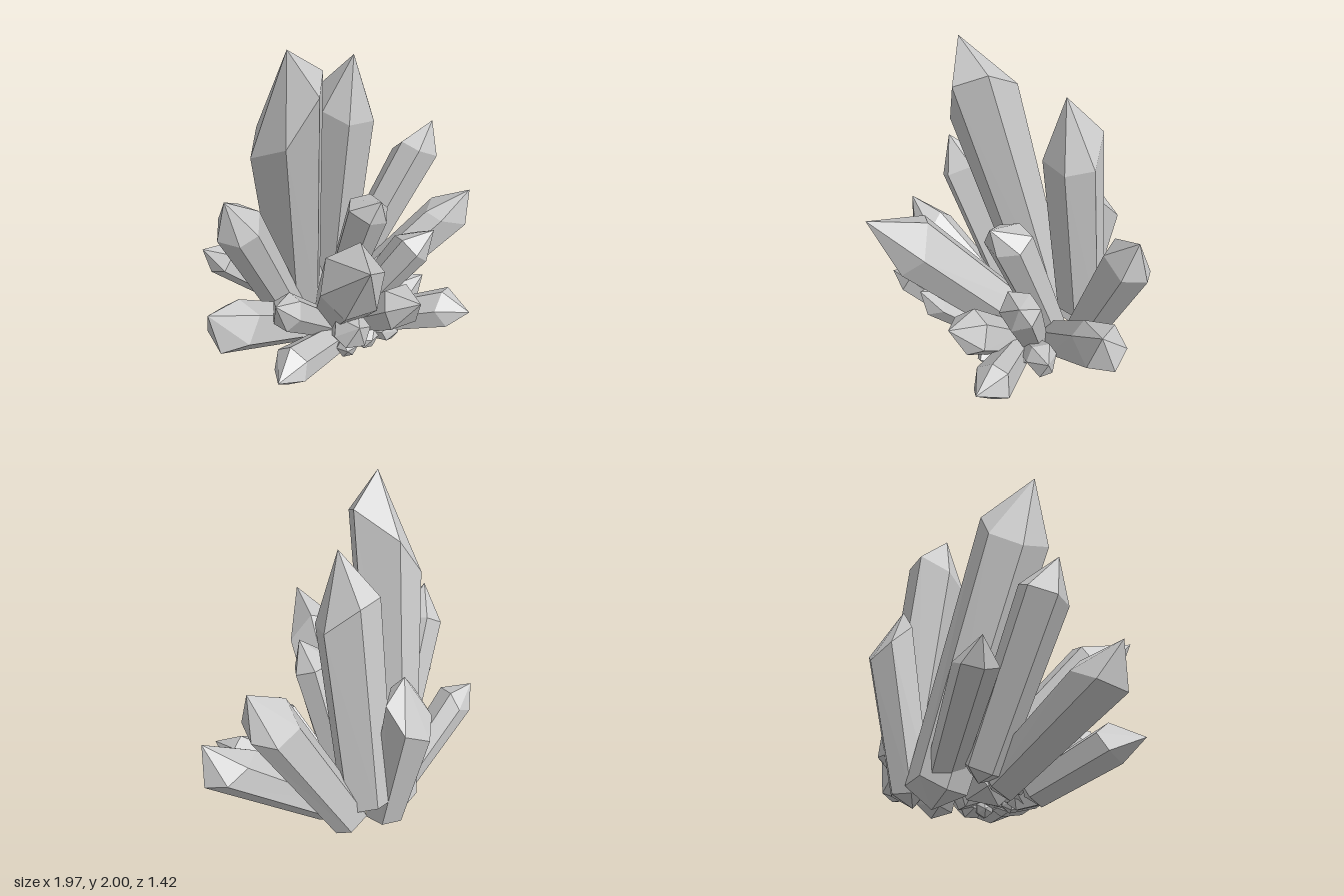
import * as THREE from 'three';

const V = (a) => new THREE.Vector3(...a);

// Small seeded generator for the natural irregularity of the facets
function seeded(seed) {
  let s = seed * 7919 + 17;
  return () => {
    s = (s * 16807) % 2147483647;
    return s / 2147483647 - 0.5;
  };
}

// Six-sided crystal: pointed root, narrow lower ring, wide uneven shoulder ring, off-centre tip
function crystalGeometry({ root, shoulder, tip, r, taper = 0.78, tilt = [0, 0, 0], rough = 0.35, phase = 0.2 }, seed) {
  const rnd = seeded(seed);
  for (let i = 0; i < 5; i++) rnd();
  const a = V(root), b = V(shoulder), top = V(tip), lean = V(tilt);
  const axis = b.clone().sub(a).normalize();
  const u = new THREE.Vector3(1, 0, 0).addScaledVector(axis, -axis.x).normalize();
  const w = new THREE.Vector3().crossVectors(u, axis);
  const n = 6;
  const low = [], high = [];
  for (let i = 0; i < n; i++) {
    const t = phase + (i + rnd() * 0.25) / n * Math.PI * 2;
    const dir = u.clone().multiplyScalar(Math.cos(t)).addScaledVector(w, Math.sin(t));
    const size = r * (1 + rnd() * 0.1);
    low.push(a.clone().addScaledVector(dir, size * taper).addScaledVector(axis, r * (0.5 + rnd() * 0.3)));
    high.push(b.clone().addScaledVector(dir, size)
      .addScaledVector(axis, r * (dir.dot(lean) + rnd() * rough * 2)));
  }
  const pos = [];
  const tri = (...pts) => pts.forEach((p) => pos.push(p.x, p.y, p.z));
  for (let i = 0; i < n; i++) {
    const j = (i + 1) % n;
    tri(a, low[i], low[j]);
    tri(low[i], high[i], high[j]);
    tri(low[i], high[j], low[j]);
    tri(high[i], top, high[j]);
  }
  const g = new THREE.BufferGeometry();
  g.setAttribute('position', new THREE.Float32BufferAttribute(pos, 3));
  g.computeVertexNormals();
  return g;
}

const CRYSTALS = {
  // Tall rear spires
  tallestSpire: { root: [-0.06, 0, -0.4], shoulder: [-0.345, 1.62, -0.06], tip: [-0.4, 2, 0.04], r: 0.215, taper: 0.72, tilt: [0.9, 0, 0.4], rough: 0.15, phase: 0.1 },
  secondSpire: { root: [0.225, 0.2, -0.41], shoulder: [0.228, 1.45, -0.25], tip: [0.225, 1.79, -0.18], r: 0.178, taper: 0.88, tilt: [0, 0, -0.5], rough: 0.25, phase: 0 },
  rearCrystal: { root: [0.09, 0.03, -0.42], shoulder: [0.12, 0.91, -0.585], tip: [0.1, 1.12, -0.53], r: 0.145, tilt: [0, 0, 0.7], rough: 0.2, phase: 0.5 },
  // Side crystals on +x
  upperSideCrystalA: { root: [0.3, 0.12, -0.36], shoulder: [0.755, 1.03, -0.17], tip: [0.85, 1.23, -0.12], r: 0.142, taper: 0.85, tilt: [0, 0, 0.3], rough: 0.25 },
  lowerSideCrystalA: { root: [0.22, 0.1, -0.18], shoulder: [0.825, 0.65, 0.09], tip: [0.92, 0.82, 0.18], r: 0.145, taper: 0.85, tilt: [0.4, -0.4, 0], rough: 0.2, phase: 0.5 },
  // Side crystals on -x
  upperSideCrystalB: { root: [-0.23, 0.12, -0.24], shoulder: [-0.65, 1.03, -0.13], tip: [-0.74, 1.22, -0.1], r: 0.142, rough: 0.2 },
  lowerSideCrystalB: { root: [-0.17, 0.12, -0.12], shoulder: [-0.83, 0.535, 0.03], tip: [-0.99, 0.7, 0.06], r: 0.15, tilt: [-0.2, -0.2, 0], rough: 0.25, phase: 0.5 },
  rearSideCrystalB: { root: [-0.06, 0.08, -0.37], shoulder: [-0.55, 0.58, -0.485], tip: [-0.67, 0.68, -0.53], r: 0.112 },
  smallSideCrystalB: { root: [-0.12, 0.14, 0], shoulder: [-0.56, 0.56, 0.16], tip: [-0.67, 0.69, 0.22], r: 0.11 },
  frontSideCrystalB: { root: [-0.18, 0.11, 0.09], shoulder: [-0.65, 0.32, 0.3], tip: [-0.79, 0.33, 0.38], r: 0.115, taper: 0.85 },
  // Front crystals
  largeFrontCrystal: { root: [0.02, 0.1, -0.14], shoulder: [-0.335, 0.83, 0.46], tip: [-0.44, 1.06, 0.71], r: 0.195, tilt: [0, 0.2, 0], rough: 0.3 },
  centreCrystal: { root: [0.13, 0.1, -0.22], shoulder: [0.1, 0.95, 0.11], tip: [0.08, 1.06, 0.23], r: 0.135, rough: 0.2 },
  frontCrystalA: { root: [0.15, 0.1, -0.06], shoulder: [0.355, 0.66, 0.24], tip: [0.44, 0.77, 0.32], r: 0.122 },
  lowFrontCrystalA: { root: [0.13, 0.1, 0.06], shoulder: [0.405, 0.3, 0.49], tip: [0.45, 0.33, 0.64], r: 0.125 },
  lowSideCrystalA: { root: [0.15, 0.1, 0], shoulder: [0.43, 0.26, 0.12], tip: [0.53, 0.32, 0.17], r: 0.1 },
  stubbyFrontCrystal: { root: [0.07, 0.11, 0.02], shoulder: [0.1, 0.42, 0.41], tip: [0.1, 0.52, 0.56], r: 0.138, tilt: [0, 0.3, 0], rough: 0.3 },
  lowFrontCrystalB: { root: [-0.06, 0.1, 0.05], shoulder: [-0.27, 0.42, 0.38], tip: [-0.3, 0.51, 0.48], r: 0.112 },
};

export function createModel() {
  const group = new THREE.Group();
  group.name = 'crystalCluster';
  const material = new THREE.MeshStandardMaterial({ color: 0xcccccc, flatShading: true });
  let seed = 1;
  const add = (name, spec) => {
    const mesh = new THREE.Mesh(crystalGeometry(spec, seed++ * 31), material);
    mesh.name = name;
    group.add(mesh);
  };
  for (const [name, spec] of Object.entries(CRYSTALS)) add(name, spec);

  // Tiny shards around the foot
  const shardTips = [[-0.05, 0.18, 0.32], [0.13, 0.18, 0.36], [-0.23, 0.18, 0.3], [0.3, 0.16, 0.16]];
  shardTips.forEach(([x, y, z], i) => add('shard' + (i + 1), {
    root: [x * 0.3, 0.09, z * 0.2],
    shoulder: [x * 0.85, y * 0.85 + 0.01, z * 0.85],
    tip: [x, y, z],
    r: 0.066,
  }));
  return group;
}
